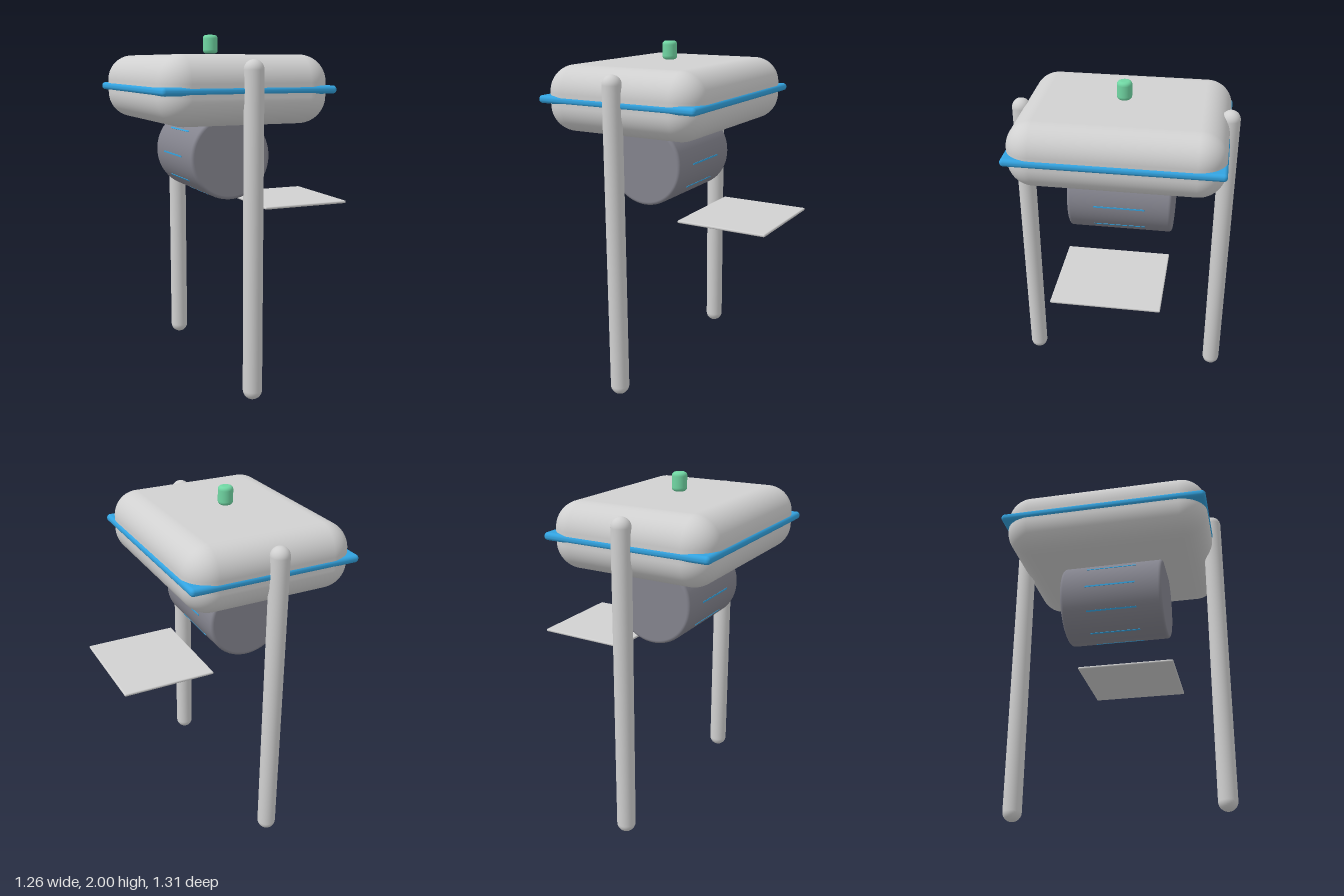
import * as THREE from 'three';
import { RoundedBoxGeometry } from 'three/addons/geometries/RoundedBoxGeometry.js';

const CX = -0.135; // x of the main axis shared by body, legs, drum and button

function material(name, color) {
  const m = new THREE.MeshStandardMaterial({ color });
  m.name = name;
  return m;
}

// Solid cylinder along y with rounded rims
function roundedCylinder(radius, height, bevel) {
  const h = height / 2;
  const eps = 0.001;
  const lower = [new THREE.Vector2(0, -h), new THREE.Vector2(radius - bevel - eps, -h)];
  for (let i = 0; i <= 6; i++) {
    const a = (i / 6) * Math.PI / 2;
    lower.push(new THREE.Vector2(radius - bevel + bevel * Math.sin(a), -h + bevel - bevel * Math.cos(a)));
  }
  lower.push(new THREE.Vector2(radius, -h + bevel + eps));
  const upper = lower.map((p) => new THREE.Vector2(p.x, -p.y)).reverse();
  return new THREE.LatheGeometry([...lower, ...upper], 64);
}

export function createModel() {
  const model = new THREE.Group();
  model.name = 'model';

  const shell = material('light grey', 0xd0d0d0);
  const blue = material('blue', 0x33a3e0);
  const dark = material('slate grey', 0x85858f);
  const green = material('green', 0x70d6a3);

  const add = (name, geometry, mat, x, y, z, parent = model) => {
    const mesh = new THREE.Mesh(geometry, mat);
    mesh.name = name;
    mesh.position.set(x, y, z);
    parent.add(mesh);
    return mesh;
  };

  // Pillowy main body and the band round its middle
  add('body', new RoundedBoxGeometry(0.98, 0.375, 1.2, 10, 0.15), shell, CX, 1.698, 0);
  add('band', new RoundedBoxGeometry(1.0, 0.044, 1.21, 5, 0.02), blue, CX, 1.698, 0);

  // Two round-ended legs, front and back
  for (const side of [1, -1]) {
    add(side > 0 ? 'frontLeg' : 'backLeg', new THREE.CapsuleGeometry(0.054, 1.752, 10, 32),
      shell, CX, 0.93, side * 0.6);
  }

  // Drum under the body, lying front to back
  const drum = new THREE.Group();
  drum.name = 'drumAssembly';
  drum.position.set(CX, 1.317, 0);
  model.add(drum);
  add('drum', roundedCylinder(0.24, 0.61, 0.018), dark, 0, 0, 0, drum).rotation.x = Math.PI / 2;

  // Thin stripes spaced evenly round the drum
  const stripe = new THREE.BoxGeometry(0.006, 0.009, 0.3);
  for (let i = 0; i < 10; i++) {
    const a = (i / 10) * Math.PI * 2;
    add('drumStripe', stripe, blue, 0.239 * Math.cos(a), 0.239 * Math.sin(a), 0, drum).rotation.z = a;
  }

  // Tray floating to one side
  add('tray', new RoundedBoxGeometry(0.545, 0.016, 0.605, 3, 0.007), shell, 0.357, 1.008, 0);

  // Button above the body
  add('button', roundedCylinder(0.043, 0.107, 0.02), green, CX, 1.9465, 0);

  return model;
}
